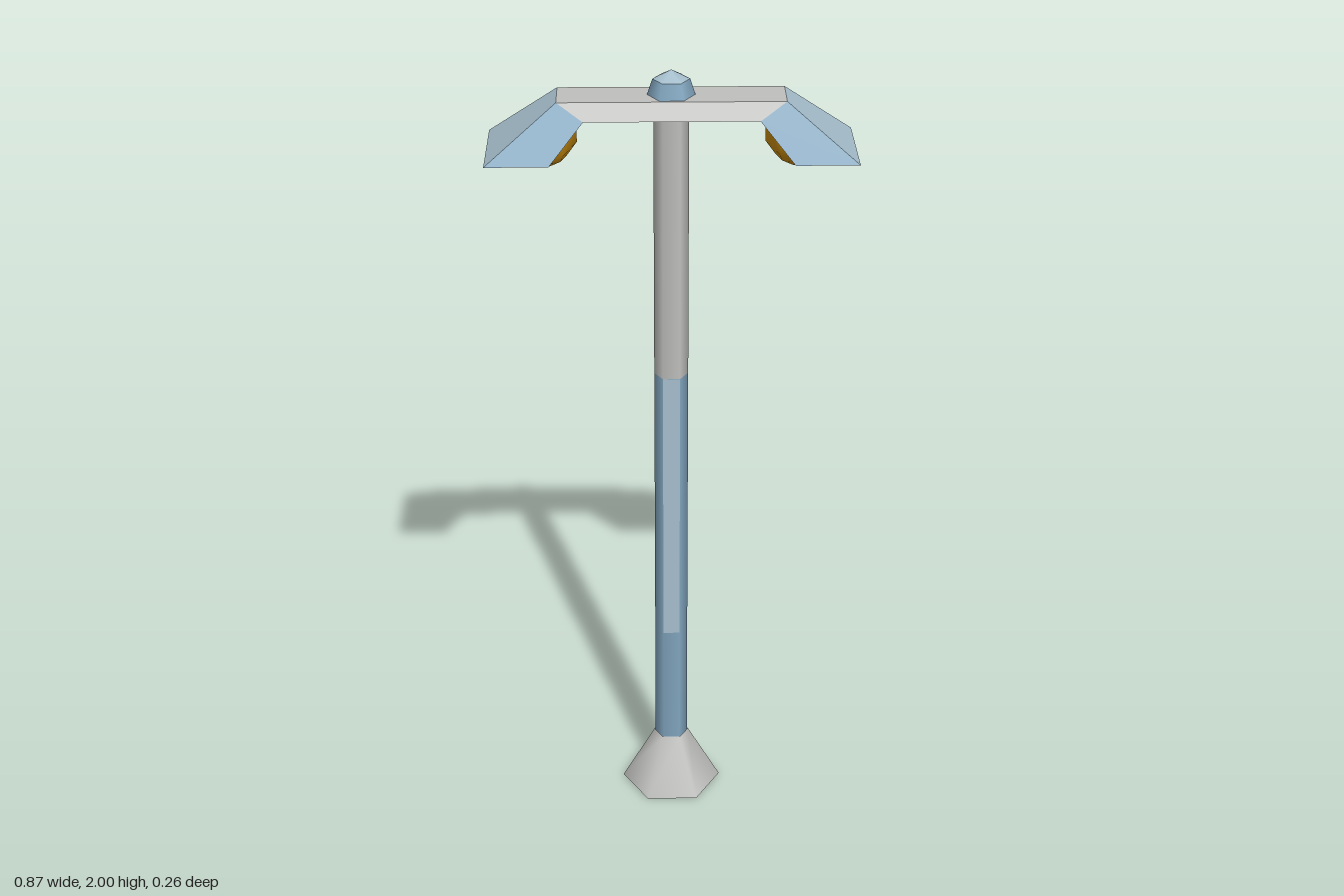
import * as THREE from 'three';

const mat = (name, color, side = THREE.FrontSide) => {
  const m = new THREE.MeshStandardMaterial({ color, side });
  m.name = name;
  return m;
};

export function createModel() {
  const grey = mat('grey metal', 0xc0c0be);
  const greyOpen = mat('grey metal', 0xc0c0be, THREE.DoubleSide);
  const blue = mat('blue paint', 0x82a6bf);
  const pale = mat('pale blue paint', 0xa6bfcd);
  const amber = mat('amber glass', 0xd6950f);
  const model = new THREE.Group();
  model.name = 'streetLamp';

  const add = (parent, name, geometry, material) => {
    const mesh = new THREE.Mesh(geometry, material);
    mesh.name = name;
    parent.add(mesh);
    return mesh;
  };

  // Six-sided tube from y0 to y1, with corners on the x axis
  const hexTube = (name, r0, r1, y0, y1, material) => {
    const g = new THREE.CylinderGeometry(r1, r0, y1 - y0, 6, 1, true, Math.PI / 6);
    return add(model, name, g.translate(0, (y0 + y1) / 2, 0), material);
  };

  // Flat quads, corners counter-clockwise from outside
  const quads = (parent, name, material, list) => {
    const pos = list.flatMap(([a, b, c, d]) => [a, b, c, a, c, d].flat());
    const g = new THREE.BufferGeometry();
    g.setAttribute('position', new THREE.Float32BufferAttribute(pos, 3));
    g.computeVertexNormals();
    return add(parent, name, g, material);
  };

  // Flared foot and two-tone pole
  hexTube('foot', 0.13, 0.045, 0, 0.15, greyOpen);
  hexTube('lowerPole', 0.042, 0.042, 0.145, 1.22, blue);
  hexTube('upperPole', 0.042, 0.042, 1.22, 1.91, grey);

  // Pale stripes laid on pole faces: [turn about y, half width]
  for (const [turn, w] of [[0, 0.021], [-Math.PI * 2 / 3, 0.021], [Math.PI, 0.01]]) {
    const z = 0.0372;
    quads(model, 'poleStripe', pale, [
      [[-w, 0.48, z], [w, 0.48, z], [w, 1.22, z], [-w, 1.22, z]],
    ]).rotation.y = turn;
  }

  // Cap with a shallow pointed top
  hexTube('capSide', 0.058, 0.044, 1.935, 1.978, blue).material = blue;
  hexTube('capTop', 0.044, 0, 1.978, 2, pale);

  // Crossbar and hoods share these corners; s is the z side
  const A = (s) => [0.267, 1.94, 0.055 * s];
  const B = (s) => [0.435, 1.81, 0.128 * s];
  const C = (s) => [0.285, 1.81, 0.128 * s];
  const D = (s) => [0.205, 1.9, 0.078 * s];
  const turned = ([x, y, z]) => [-x, y, -z];
  const barFront = [turned(D(-1)), D(1), A(1), turned(A(-1))];
  quads(model, 'crossbar', grey, [
    barFront,
    barFront.map(turned),
    [turned(A(-1)), A(1), A(-1), turned(A(1))],
    [turned(D(1)), D(-1), D(1), turned(D(-1))],
  ]);

  // Lamp heads, the second turned half a circle
  const bulbProfile = [[0.088, -0.01], [0.085, 0.012], [0.066, 0.054], [0.03, 0.075], [0, 0.077]]
    .map(([r, y]) => new THREE.Vector2(r, y));
  for (const [name, turn] of [['leftLamp', 0], ['rightLamp', Math.PI]]) {
    const lamp = new THREE.Group();
    lamp.name = name;
    lamp.rotation.y = turn;
    model.add(lamp);
    quads(lamp, 'hoodTop', pale, [[B(1), B(-1), A(-1), A(1)]]);
    quads(lamp, 'hoodSides', blue, [
      [D(1), C(1), B(1), A(1)],
      [A(-1), B(-1), C(-1), D(-1)],
    ]);
    quads(lamp, 'hoodUnderside', grey, [
      [C(-1), B(-1), B(1), C(1)],
      [D(-1), C(-1), C(1), D(1)],
    ]);
    // Tilted faceted bulb
    const bulb = add(lamp, 'bulb', new THREE.LatheGeometry(bulbProfile, 6, Math.PI / 6), amber);
    bulb.position.set(0.304, 1.848, 0);
    bulb.rotation.z = 2.73;
  }
  return model;
}
